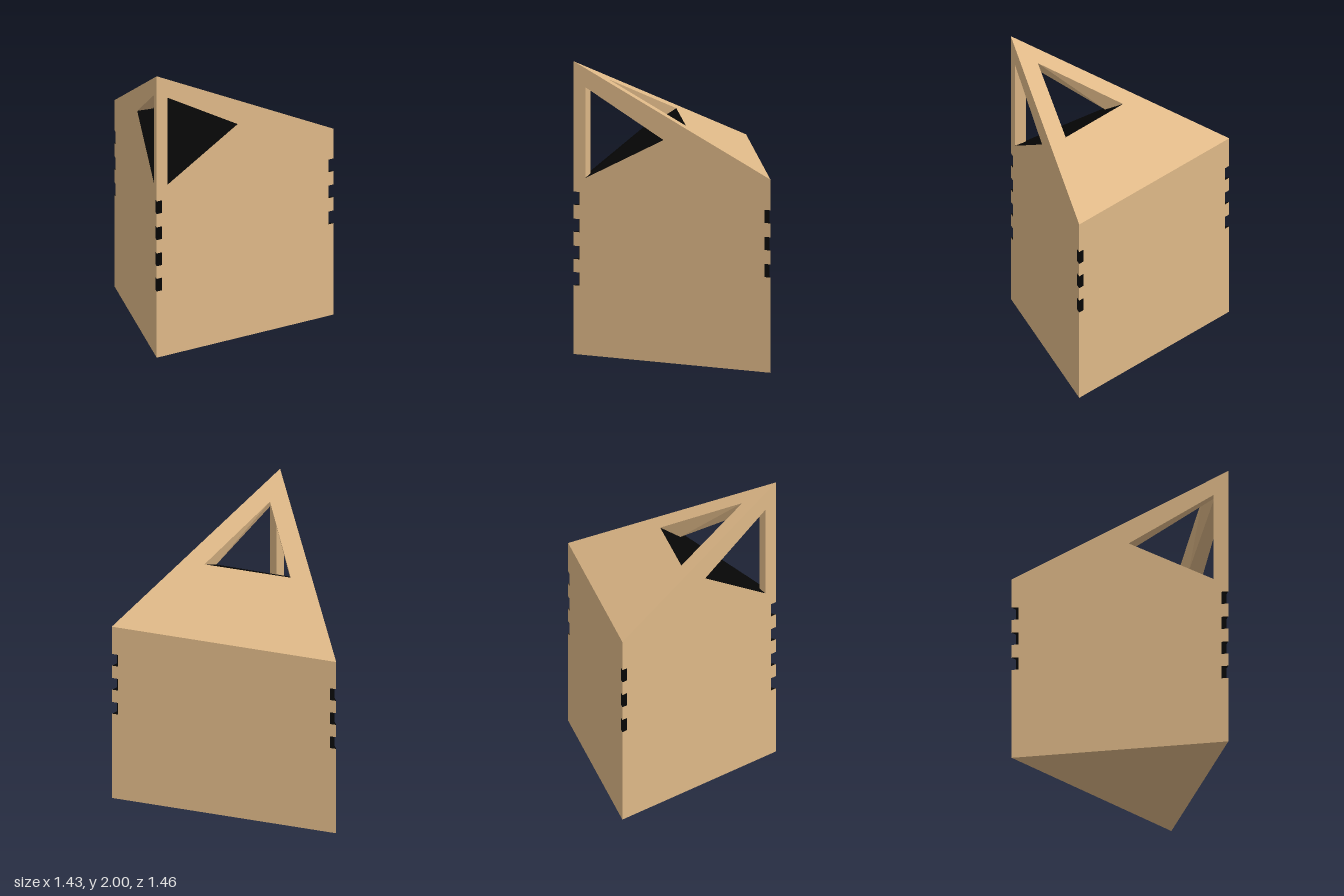
import * as THREE from 'three';

const wood = new THREE.MeshStandardMaterial({ color: 0xdeb887 });
const woodInside = new THREE.MeshStandardMaterial({ color: 0xdeb887, side: THREE.DoubleSide });
const dark = new THREE.MeshStandardMaterial({ color: 0x060606, side: THREE.DoubleSide });

// Corners of the wedge-shaped plan: [x, z, wall height]
const A = [-0.72, -0.07, 1.32];
const B = [0.52, 0.73, 2.0];
const C = [0.715, -0.73, 1.32];
const CUT = 0.045; // notch reach along each wall
const NOTCH_H = 0.09;
const LOW = [0.47, 0.65, 0.835, 1.02]; // notch bottoms, front corner
const HIGH = LOW.slice(1); // notch bottoms, other corners

const length = (P, Q) => Math.hypot(Q[0] - P[0], Q[1] - P[1]);
const v = (x, y, z) => new THREE.Vector3(x, y, z);
// Point at distance u from P towards Q, at height y
const onWall = (P, Q, u, y) => {
  const t = u / length(P, Q);
  return v(P[0] + (Q[0] - P[0]) * t, y, P[1] + (Q[1] - P[1]) * t);
};
const shapeOf = (pts) => new THREE.Shape(pts.map(([x, y]) => new THREE.Vector2(x, y)));

function mesh(name, geometry, material) {
  const m = new THREE.Mesh(geometry, material);
  m.name = name;
  return m;
}

// Flat polygons, each split as a fan from its first corner
function polygons(name, polys, material) {
  const pts = [];
  for (const p of polys) {
    for (let i = 1; i < p.length - 1; i++) pts.push(p[0], p[i], p[i + 1]);
  }
  const g = new THREE.BufferGeometry().setFromPoints(pts);
  g.computeVertexNormals();
  return mesh(name, g, material);
}

// Moves a flat shape into place by a rule
function mapped(name, shape, rule) {
  const g = new THREE.ShapeGeometry(shape).toNonIndexed();
  const pos = g.attributes.position;
  for (let i = 0; i < pos.count; i++) {
    const p = rule(pos.getX(i), pos.getY(i));
    pos.setXYZ(i, p.x, p.y, p.z);
  }
  g.computeVertexNormals();
  return mesh(name, g, wood);
}

// Wall from P to Q (left to right from outside), notched at both ends
function wall(name, P, Q, notchesP, notchesQ, win) {
  const L = length(P, Q);
  const pts = [[0, 0], [L, 0]];
  for (const y of notchesQ) {
    pts.push([L, y], [L - CUT, y], [L - CUT, y + NOTCH_H], [L, y + NOTCH_H]);
  }
  pts.push([L, Q[2]], [0, P[2]]);
  for (const y of [...notchesP].reverse()) {
    pts.push([0, y + NOTCH_H], [CUT, y + NOTCH_H], [CUT, y], [0, y]);
  }
  const shape = shapeOf(pts);
  if (win) shape.holes.push(shapeOf(win.map(([t, y]) => [t * L, y])));
  return mapped(name, shape, (u, y) => onWall(P, Q, u, y));
}

// Dark notches across the corner P, between neighbours N and M
function notches(name, P, N, M, list) {
  const polys = [];
  for (const y of list) {
    const ring = (h) => [onWall(P, N, CUT, h), v(P[0], h, P[1]), onWall(P, M, CUT, h)];
    const a = ring(y), b = ring(y + NOTCH_H);
    polys.push(a, b, [a[0], a[2], b[2], b[0]]);
  }
  return polygons(name, polys, dark);
}

export function createModel() {
  const group = new THREE.Group();
  group.name = 'wedgeBlock';

  // Triangular windows: far tip, upper and lower corner near the front post
  const winL = [[0.54, 1.52], [0.931, 1.83], [0.931, 1.21]];
  const winR = [[0.457, 1.52], [0.06, 1.83], [0.06, 1.21]];

  group.add(
    wall('frontWall', A, B, HIGH, LOW, winL),
    wall('sideWall', B, C, LOW, HIGH, winR),
    wall('backWall', C, A, HIGH, HIGH),
    notches('frontCornerNotches', B, A, C, LOW),
    notches('leftCornerNotches', C, B, A, HIGH),
    notches('rightCornerNotches', A, C, B, HIGH),
  );

  // Sloping roof with a triangular opening, and the base
  const [pa, pb, pc] = [A, B, C].map(([x, z, h]) => v(x, h, z));
  const plane = new THREE.Plane().setFromCoplanarPoints(pa, pb, pc);
  const roofY = (x, z) => -(plane.constant + plane.normal.x * x + plane.normal.z * z) / plane.normal.y;
  const opening = [[-0.06, 0.2], [0.42, 0.52], [0.49, -0.055]];
  const roof = shapeOf([A, B, C].map(([x, z]) => [x, -z]));
  roof.holes.push(shapeOf(opening.map(([x, z]) => [x, -z])));
  group.add(mapped('roof', roof, (x, y) => v(x, roofY(x, -y), -y)));
  group.add(polygons('base', [[A, C, B].map(([x, z]) => v(x, 0, z))], wood));

  // Hollow behind the windows: beams, post and dark sloping floor
  const [h1, hb, h2] = opening.map(([x, z]) => v(x, roofY(x, z), z));
  const [w1, w2, w3] = winL.map(([t, y]) => onWall(A, B, t * length(A, B), y));
  const [v1, v2, v3] = winR.map(([t, y]) => onWall(B, C, t * length(B, C), y));
  const t1 = v(0.03, 1.54, 0.29), t2 = v(0.505, 1.54, 0.08);
  const top = v(0.46, 1.83, 0.63), foot = v(0.46, 1.23, 0.63);
  group.add(
    polygons('frontBeam', [[w1, w2, top, t1], [t1, top, hb, h1]], woodInside),
    polygons('sideBeam', [[v1, v2, top, t2], [t2, top, hb, h2]], woodInside),
    polygons('cornerPost', [[w2, w3, foot, top], [v2, v3, foot, top]], woodInside),
    polygons('hollowFloor', [
      [foot, w3, w1, v1, v3],
      [w1, t1, t2, v1],
      [t1, h1, h2, t2],
    ], dark),
  );
  return group;
}
